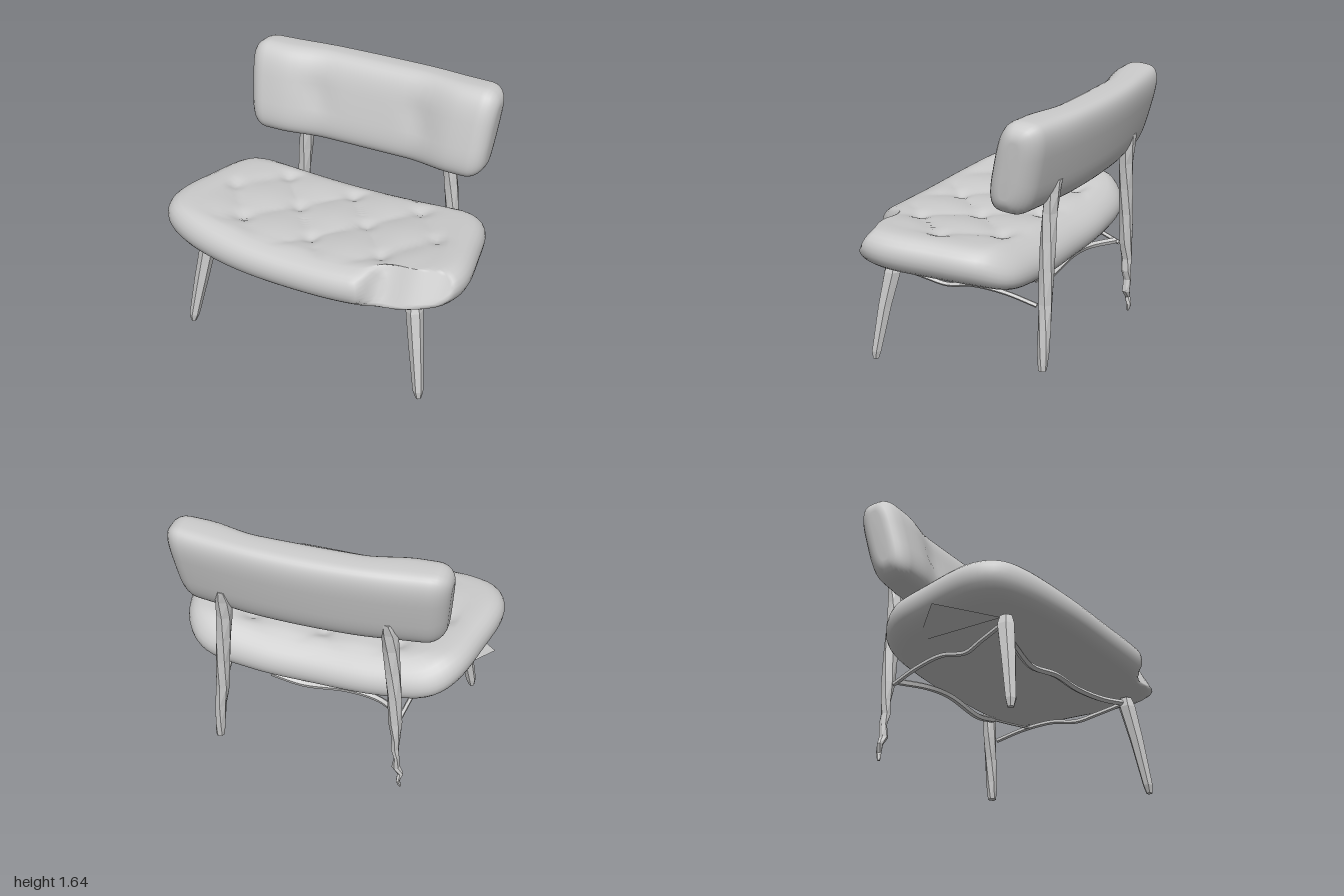
import * as THREE from 'three';

const smooth = new THREE.MeshStandardMaterial({ color: 0xcccccc, side: THREE.DoubleSide });
const faceted = new THREE.MeshStandardMaterial({ color: 0xcccccc, side: THREE.DoubleSide, flatShading: true });
const sstep = (x, a, b) => THREE.MathUtils.smoothstep(x, a, b);
const bump = (dx, dy, r) => Math.exp(-(dx * dx + dy * dy) / (r * r));

// Surface closed around u (nu steps) and open along v (nv rings)
function skin(nu, nv, fn) {
  const pos = [], idx = [];
  for (let j = 0; j < nv; j++)
    for (let i = 0; i < nu; i++) pos.push(...fn(i / nu, j));
  for (let j = 0; j < nv - 1; j++)
    for (let i = 0; i < nu; i++) {
      const k = (i + 1) % nu;
      const a = j * nu + i, b = j * nu + k, c = a + nu, d = b + nu;
      idx.push(a, c, b, b, c, d);
    }
  const g = new THREE.BufferGeometry();
  g.setAttribute('position', new THREE.Float32BufferAttribute(pos, 3));
  g.setIndex(idx);
  g.computeVertexNormals();
  return g;
}

function add(group, name, geometry, material) {
  const mesh = new THREE.Mesh(geometry, material);
  mesh.name = name;
  group.add(mesh);
}

// Tufted seat cushion: rings of the plan outline from top centre to bottom centre
function seatGeometry() {
  const half = [[0.45, 0.66], [0.8, 0.58], [0.94, 0.49], [0.995, 0.34], [0.945, 0],
    [0.86, -0.3], [0.73, -0.42], [0.4, -0.465]];
  const plan = [[0, 0.68], ...half, [0, -0.465], ...half.map(([x, z]) => [-x, z]).reverse()];
  const outline = new THREE.CatmullRomCurve3(plan.map(([x, z]) => new THREE.Vector3(x, 0, z)), true);
  const buttons = [];
  for (const x of [-0.7, -0.235, 0.235, 0.7]) buttons.push([x, 0.075]);
  for (const x of [-0.47, 0, 0.47]) buttons.push([x, -0.21], [x, 0.36]);

  const rings = []; // [plan scale, height fraction]
  for (let i = 0; i < 26; i++) rings.push([0.82 * i / 26, 1]);
  for (let i = 0; i <= 12; i++) {
    const a = Math.PI * i / 12;
    rings.push([0.82 + 0.18 * Math.sin(a) ** 0.8, 0.5 + 0.5 * Math.cos(a)]);
  }
  rings.push([0.4, 0], [0, 0]);

  return skin(120, rings.length, (u, j) => {
    const [s, f] = rings[j];
    const p = outline.getPointAt(u);
    const x = p.x * s;
    let z = 0.1 + (p.z - 0.1) * s;
    const bottom = 0.598 + 0.04 * z + 0.06 * x * x - 0.03 * sstep(-z, 0.2, 0.44);
    let top = 0.822 + 0.035 * z + 0.075 * x * x - 0.07 * sstep(-z, 0.28, 0.47)
      - 0.03 * sstep(z, 0.5, 0.68);
    // Diamond quilting with creases running from button to button
    const a = x / 0.47 + (z - 0.36) / 0.57, b = x / 0.47 - (z - 0.36) / 0.57;
    const puff = Math.abs(Math.sin(Math.PI * a) * Math.sin(Math.PI * b)) ** 0.75;
    top += 0.022 * THREE.MathUtils.lerp(puff, 0.6, sstep(s, 0.6, 0.85));
    for (const [bx, bz] of buttons) top -= 0.025 * bump(x - bx, z - bz, 0.05);
    const y = bottom + (top - bottom) * f;
    // Torn front corner: a ragged slanted cut
    const cut = 0.6 - 0.55 * (y - 0.65) - 0.12 * (x - 0.5) + 0.012 * Math.sin(x * 19);
    if (x > 0.44 && z > cut) z += (cut - z) * sstep(x, 0.44, 0.54);
    return [x, y, z];
  });
}

// Backrest pad: tilted rounded sections swept along x, curving forward at the ends
function backGeometry() {
  const r = 0.11, body = 0.72, stations = [[-body - r, 1]];
  for (let i = 0; i <= 6; i++) {
    const a = Math.PI / 2 * (1 - i / 6);
    stations.push([-body - r * Math.sin(a), r * (1 - Math.cos(a))]);
  }
  for (let i = 1; i < 24; i++) stations.push([-body + 2 * body * i / 24, 0]);
  for (let i = 0; i <= 6; i++) {
    const a = Math.PI / 2 * i / 6;
    stations.push([body + r * Math.sin(a), r * (1 - Math.cos(a))]);
  }
  stations.push([body + r, 1]);
  const pow = (v) => Math.sign(v) * Math.abs(v) ** 0.6;
  return skin(48, stations.length, (u, j) => {
    const [x, inset] = stations[j];
    const a = u * Math.PI * 2, c = Math.cos(a);
    const h = inset === 1 ? 0 : 0.286 - inset;
    const w = inset === 1 ? 0 : 0.138 - inset * 0.85;
    let z = pow(c) * w;
    const y = pow(Math.sin(a)) * h;
    const ax = Math.abs(x);
    const front = 0.06 * sstep(ax, 0.3, 0.62), rear = 0.1 * x * x;
    z += THREE.MathUtils.lerp(rear, front, (pow(c) + 1) / 2);
    if (c > 0) z -= 0.015 * bump(ax - 0.35, y - 0.02, 0.09);
    const t = 0.235; // backward tilt
    return [x * (0.99 + 0.11 * y), 1.347 + y * Math.cos(t) + z * Math.sin(t) * 0.3 + 0.012 * x * x,
      -0.512 + z - y * Math.sin(t)];
  });
}

// Leg through rings [x, y, z, halfWidth, halfDepth] listed from the foot up
function legGeometry(rings, sides, twist = 0) {
  const first = rings[0], last = rings[rings.length - 1];
  const all = [[...first.slice(0, 3), 0, 0], ...rings, [...last.slice(0, 3), 0, 0]];
  return skin(sides, all.length, (u, j) => {
    const [x, y, z, w, d] = all[j];
    const a = u * Math.PI * 2 + j * twist + Math.PI / sides;
    return [x + Math.cos(a) * w, y, z + Math.sin(a) * d];
  });
}

// Thin warped rail through the given points
function railGeometry(points, radius) {
  const curve = new THREE.CatmullRomCurve3(points.map((p) => new THREE.Vector3(...p)));
  return new THREE.TubeGeometry(curve, 28, radius, 5);
}

export function createModel() {
  const model = new THREE.Group();
  model.name = 'lowChair';
  add(model, 'seatCushion', seatGeometry(), smooth);
  add(model, 'backrest', backGeometry(), smooth);

  // Splayed, tapered front legs
  for (const [side, foot, name] of [[-1, 0.035, 'frontRightLeg'], [1, 0.005, 'frontLeftLeg']]) {
    add(model, name, legGeometry([
      [side * 0.8, foot, 0.492, 0.018, 0.02],
      [side * 0.793, foot + 0.05, 0.488, 0.033, 0.032],
      [side * 0.75, 0.35, 0.445, 0.046, 0.045],
      [side * 0.715, 0.57, 0.405, 0.052, 0.056],
      [side * 0.708, 0.63, 0.4, 0.035, 0.04],
    ], 6), faceted);
  }

  // Rear legs run up to the backrest; the right one frays into a thin twist
  const upper = (s) => [[s * 0.55, 0.5, -0.54, 0.042, 0.043], [s * 0.54, 0.7, -0.54, 0.045, 0.045],
    [s * 0.525, 0.88, -0.54, 0.048, 0.047], [s * 0.51, 1.05, -0.542, 0.05, 0.047],
    [s * 0.503, 1.17, -0.555, 0.05, 0.045], [s * 0.497, 1.25, -0.58, 0.032, 0.03]];
  add(model, 'rearLeftLeg', legGeometry([
    [0.588, 0.09, -0.545, 0.028, 0.026], [0.582, 0.2, -0.545, 0.034, 0.036],
    [0.57, 0.35, -0.545, 0.037, 0.04], ...upper(1)], 6, 0.3), faceted);
  add(model, 'rearRightLeg', legGeometry([
    [-0.595, 0, -0.55, 0.01, 0.008], [-0.585, 0.05, -0.56, 0.012, 0.018],
    [-0.595, 0.1, -0.545, 0.02, 0.018], [-0.565, 0.15, -0.545, 0.026, 0.028],
    [-0.57, 0.23, -0.55, 0.016, 0.028], [-0.555, 0.3, -0.545, 0.026, 0.032],
    [-0.56, 0.38, -0.545, 0.026, 0.036], ...upper(-1)], 6, 0.3), faceted);

  // Warped under-seat rails
  add(model, 'frontRail', railGeometry([[-0.69, 0.6, 0.39], [-0.6, 0.55, 0.36], [-0.45, 0.57, 0.3],
    [-0.25, 0.53, 0.28], [0, 0.56, 0.3], [0.25, 0.56, 0.3], [0.5, 0.57, 0.34], [0.7, 0.6, 0.39]], 0.02), faceted);
  add(model, 'rearRail', railGeometry([[-0.56, 0.49, -0.46], [-0.4, 0.49, -0.36], [-0.2, 0.5, -0.34],
    [0.1, 0.47, -0.34], [0.3, 0.51, -0.35]], 0.02), faceted);
  add(model, 'rearRailStrand', railGeometry([[0.28, 0.51, -0.35], [0.45, 0.52, -0.3], [0.6, 0.53, -0.25]], 0.008), faceted);
  for (const s of [-1, 1]) {
    add(model, s < 0 ? 'rightRail' : 'leftRail', railGeometry([[s * 0.7, 0.6, 0.38], [s * 0.66, 0.55, 0.2],
      [s * 0.63, 0.52, 0.08], [s * 0.62, 0.55, -0.1], [s * 0.59, 0.53, -0.3], [s * 0.56, 0.48, -0.49]], 0.015), faceted);
  }

  // Loose lining flap on the right underside
  const flap = new THREE.BufferGeometry();
  flap.setAttribute('position', new THREE.Float32BufferAttribute(
    [-1, 0.67, 0.1, -0.72, 0.625, 0.38, -0.72, 0.62, -0.2], 3));
  flap.computeVertexNormals();
  add(model, 'liningFlap', flap, faceted);
  return model;
}
